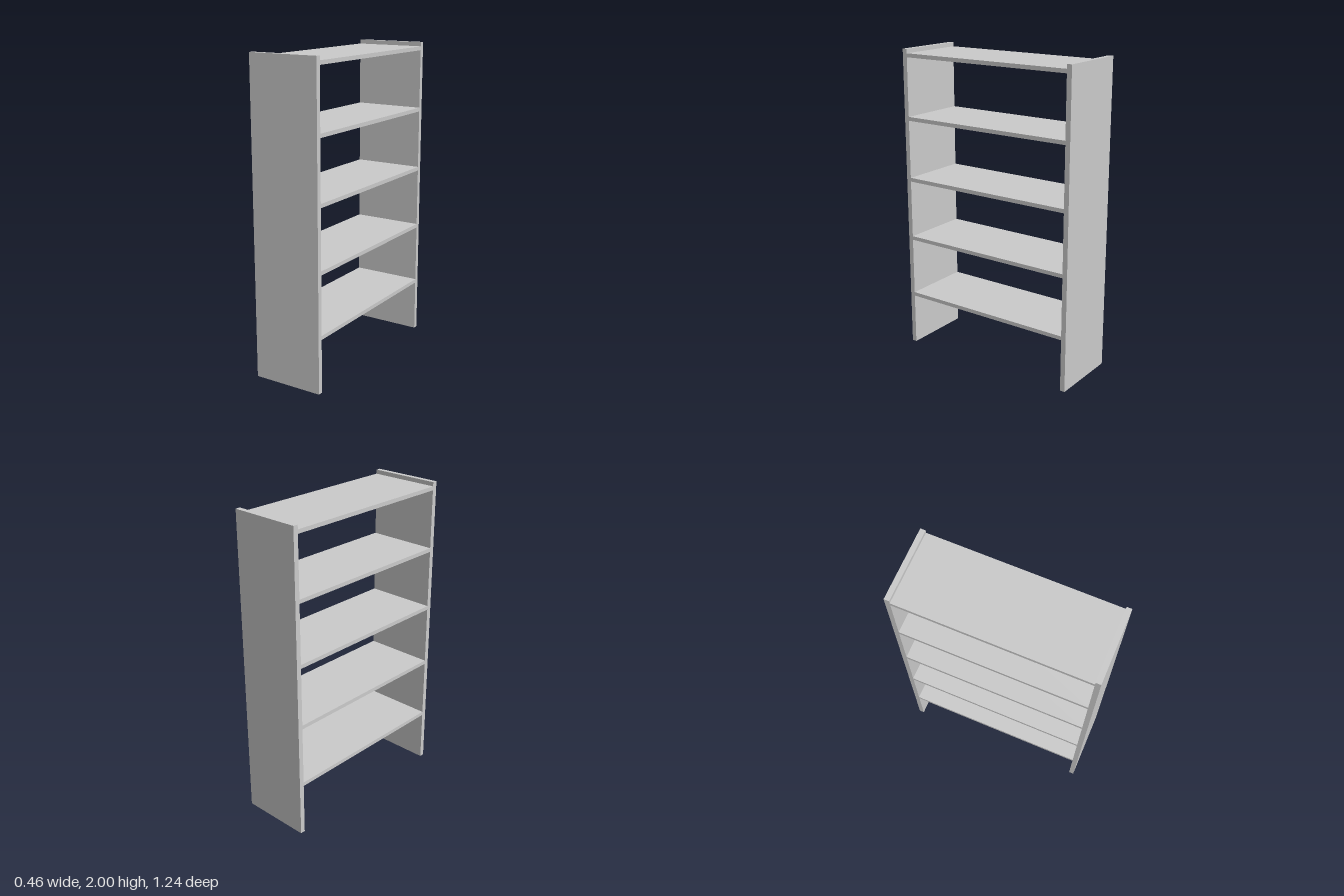
import * as THREE from 'three';

export function createModel() {
  const group = new THREE.Group();
  const material = new THREE.MeshStandardMaterial({ color: 0xcccccc });

  const depth = 0.462, height = 2, halfSpan = 0.618;
  const panel = 0.032, board = 0.025;

  const addBox = (name, w, h, d, y, z) => {
    const mesh = new THREE.Mesh(new THREE.BoxGeometry(w, h, d), material);
    mesh.name = name;
    mesh.position.set(0, y, z);
    group.add(mesh);
  };

  // Upright end panels
  for (const [name, s] of [['frontPanel', 1], ['backPanel', -1]]) {
    addBox(name, depth, height, panel, height / 2, s * (halfSpan - panel / 2));
  }

  // Five evenly spaced shelves between the panels
  for (let i = 0; i < 5; i++) {
    addBox(`shelf${i + 1}`, depth, board, 2 * (halfSpan - panel), 0.353 + i * 0.402, 0);
  }

  return group;
}
